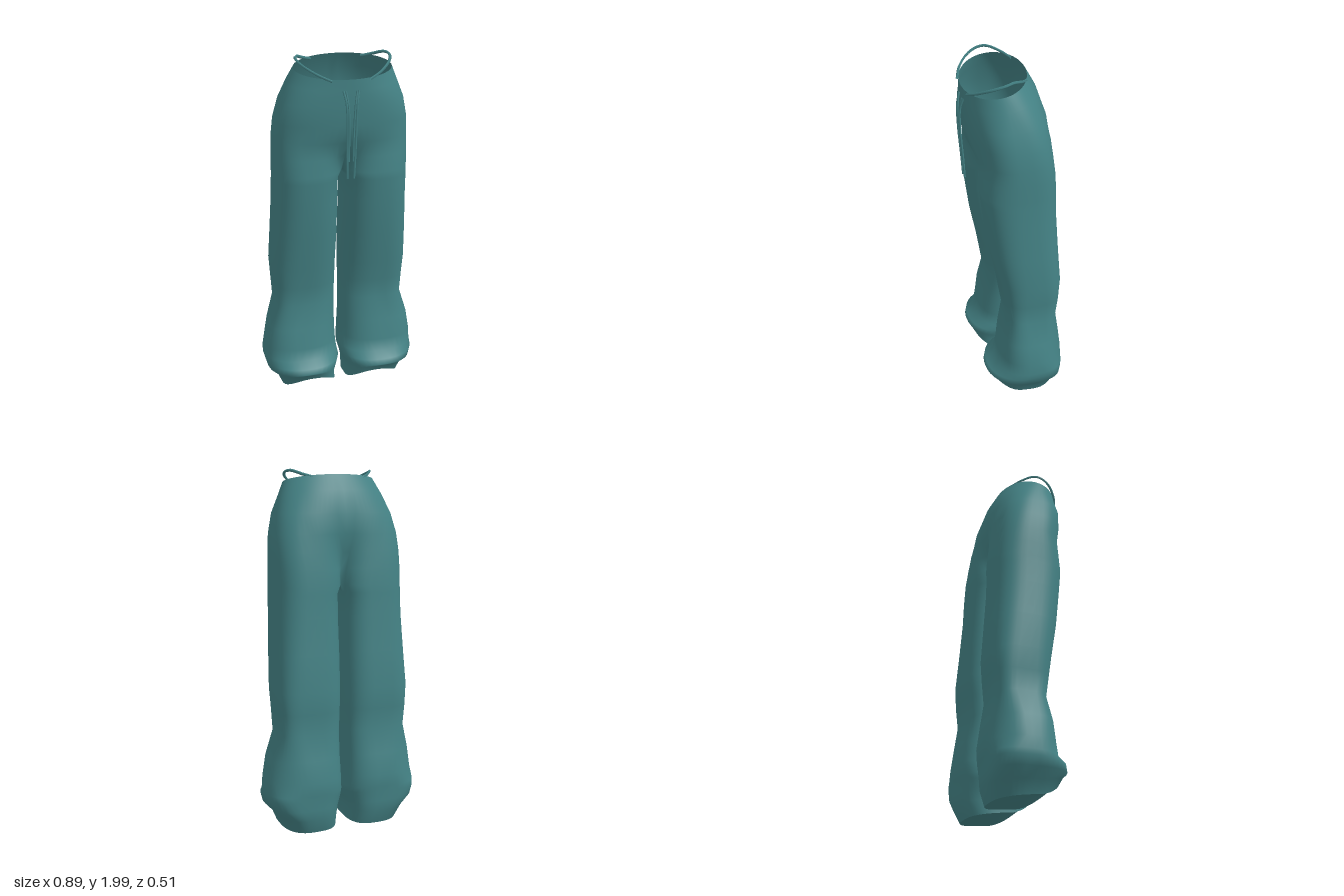
import * as THREE from 'three';
import { mergeVertices } from 'three/addons/utils/BufferGeometryUtils.js';

const { lerp, smoothstep, degToRad } = THREE.MathUtils;

// Cross-sections from waist to hem: y, inner x, outer x, front z, back z,
// then roundness of the outer front and outer back corner (1 oval, 0 square)
const ROWS = [
  [1.932, 0, 0.265, 0.235, -0.095, 0.8, 0.7],
  [1.86, 0, 0.298, 0.233, -0.142, 0.8, 0.7],
  [1.76, 0, 0.337, 0.23, -0.18, 0.8, 0.7],
  [1.65, 0, 0.362, 0.222, -0.2, 0.8, 0.7],
  [1.55, 0, 0.37, 0.205, -0.203, 0.8, 0.7],
  [1.46, 0, 0.371, 0.198, -0.205, 0.8, 0.7],
  [1.37, 0, 0.371, 0.193, -0.206, 0.8, 0.7],
  [1.33, 0.017, 0.371, 0.191, -0.207, 0.8, 0.7],
  [1.2, 0.018, 0.374, 0.177, -0.21, 0.8, 0.7],
  [1.0, 0.016, 0.382, 0.15, -0.222, 0.75, 0.65],
  [0.8, 0.018, 0.39, 0.11, -0.235, 0.68, 0.6],
  [0.68, 0.02, 0.38, 0.09, -0.225, 0.6, 0.5],
  [0.56, 0.022, 0.373, 0.07, -0.212, 0.52, 0.5],
  [0.42, 0.022, 0.418, 0.1, -0.238, 0.65, 0.85],
  [0.3, 0.018, 0.441, 0.115, -0.256, 0.75, 1.0],
  [0.23, 0.012, 0.445, 0.13, -0.25, 0.82, 0.7],
  [0.2, 0.01, 0.444, 0.18, -0.246, 0.9, 0.6],
  [0.15, 0.025, 0.43, 0.19, -0.243, 0.92, 0.6],
  [0.1, 0.037, 0.38, 0.18, -0.237, 0.92, 0.7],
  [0.03, 0.035, 0.35, 0.16, -0.205, 0.92, 0.75],
];
const CROTCH = 6;  // row where the two legs part
const OUTER = 36;  // segments from centre front round the hip to centre back
const LOOP = 42;   // segments of a whole leg
const SWEEP = 162; // degrees of the leg oval that continue into the hip

const power = (v, e) => Math.sign(v) * Math.abs(v) ** e;

// Waist dips at the front; the hem is arched up over the foot
function edgeShift(y, s) {
  const waist = -0.036 * smoothstep(y, 1.76, 1.932) * s;
  const hem = 1 - smoothstep(y, 0.03, 0.2);
  return waist + hem * (s > 0 ? 0.095 * s * s : 0.025 * s);
}

// One point of a cross-section; the hip half-oval melts into the leg oval
function sectionPoint(row, i) {
  const [y, xi, xo, zf, zb, frontE, backE] = ROWS[row];
  const cz = (zf + zb) / 2, rz = (zf - zb) / 2;
  const cx = (xi + xo) / 2, rx = (xo - xi) / 2;
  const inner = i > OUTER;
  const t = degToRad(inner
    ? -SWEEP - (360 - 2 * SWEEP) * (i - OUTER) / (LOOP - OUTER)
    : SWEEP - 2 * SWEEP * i / OUTER);
  const front = Math.sin(t) > 0;
  const e = Math.cos(t) > 0 ? (front ? frontE : backE) : (front ? 0.85 : 0.65);
  let side = power(Math.sin(t), e);
  let x = cx + rx * power(Math.cos(t), e), z = cz + rz * side;
  if (row <= CROTCH && !inner) {
    const p = Math.PI * (0.5 - i / OUTER);
    const he = lerp(0.75, 1, smoothstep(y, 1.74, 1.932));
    const hs = power(Math.sin(p), he);
    const start = p > 0 ? 1.58 : 1.8; // the seat divides higher than the front
    const w = smoothstep(start - y, 0, start - ROWS[CROTCH][0]);
    x = lerp(xo * Math.max(0, Math.cos(p)) ** he, x, w);
    z = lerp(cz + rz * hs, z, w);
    side = hs;
  }
  if (row <= CROTCH && (inner || i === 0 || i === OUTER)) x = 0;
  return [x, y + edgeShift(y, side), z];
}

// Collects triangles for both mirrored halves and welds them smoothly
function mirroredGeometry(build) {
  const positions = [];
  for (const m of [1, -1]) {
    build((...pts) => {
      if (m < 0) pts.reverse();
      for (const [x, y, z] of pts) positions.push(m * x, y, z);
    });
  }
  let g = new THREE.BufferGeometry();
  g.setAttribute('position', new THREE.Float32BufferAttribute(positions, 3));
  g = mergeVertices(g, 1e-4);
  g.computeVertexNormals();
  return g;
}

function buildCloth(put) {
  for (let r = 0; r < ROWS.length - 1; r++) {
    const count = r < CROTCH ? OUTER : LOOP;
    for (let i = 0; i < count; i++) {
      const n = (i + 1) % LOOP;
      const a = sectionPoint(r, i), b = sectionPoint(r + 1, i);
      const c = sectionPoint(r + 1, n), d = sectionPoint(r, n);
      put(a, b, c);
      put(a, c, d);
    }
  }
}

// Closes the leg openings
function buildHemCaps(put) {
  const ring = Array.from({ length: LOOP }, (_, i) => sectionPoint(ROWS.length - 1, i));
  const centre = [0, 1, 2].map((k) => ring.reduce((sum, p) => sum + p[k], 0) / LOOP);
  ring.forEach((p, i) => put(centre, ring[(i + 1) % LOOP], p));
}

export function createModel() {
  const group = new THREE.Group();
  const cloth = new THREE.MeshStandardMaterial({ color: 0x448285, side: THREE.DoubleSide });
  cloth.name = 'teal cloth';

  const add = (name, geometry) => {
    const mesh = new THREE.Mesh(geometry, cloth);
    mesh.name = name;
    group.add(mesh);
  };
  const cord = (name, points, radius, sides) => {
    const curve = new THREE.CatmullRomCurve3(points.map((p) => new THREE.Vector3(...p)));
    add(name, new THREE.TubeGeometry(curve, 24, radius, sides));
  };

  add('trousers', mirroredGeometry(buildCloth));
  add('hemCaps', mirroredGeometry(buildHemCaps));

  for (const [m, side] of [[1, 'left'], [-1, 'right']]) {
    // Thin strap arching over the hip
    cord(side + 'HipStrap', [
      [m * 0.14, 1.95, -0.07], [m * 0.19, 1.966, -0.035], [m * 0.238, 1.988, 0.03],
      [m * 0.253, 1.984, 0.07], [m * 0.235, 1.962, 0.135], [m * 0.17, 1.922, 0.2],
      [m * 0.1, 1.89, 0.23],
    ], 0.008, 4);
    // Hanging drawstring, a long and a short strand
    cord(side + 'DrawstringLong', [
      [m * 0.042, 1.84, 0.235], [m * 0.03, 1.78, 0.25], [m * 0.024, 1.65, 0.25],
      [m * 0.022, 1.5, 0.24], [m * 0.018, 1.365, 0.232],
    ], 0.006, 6);
    cord(side + 'DrawstringShort', [
      [m * 0.03, 1.84, 0.24], [m * 0.018, 1.76, 0.25], [m * 0.012, 1.62, 0.245],
      [m * 0.012, 1.46, 0.235],
    ], 0.005, 6);
  }
  return group;
}
